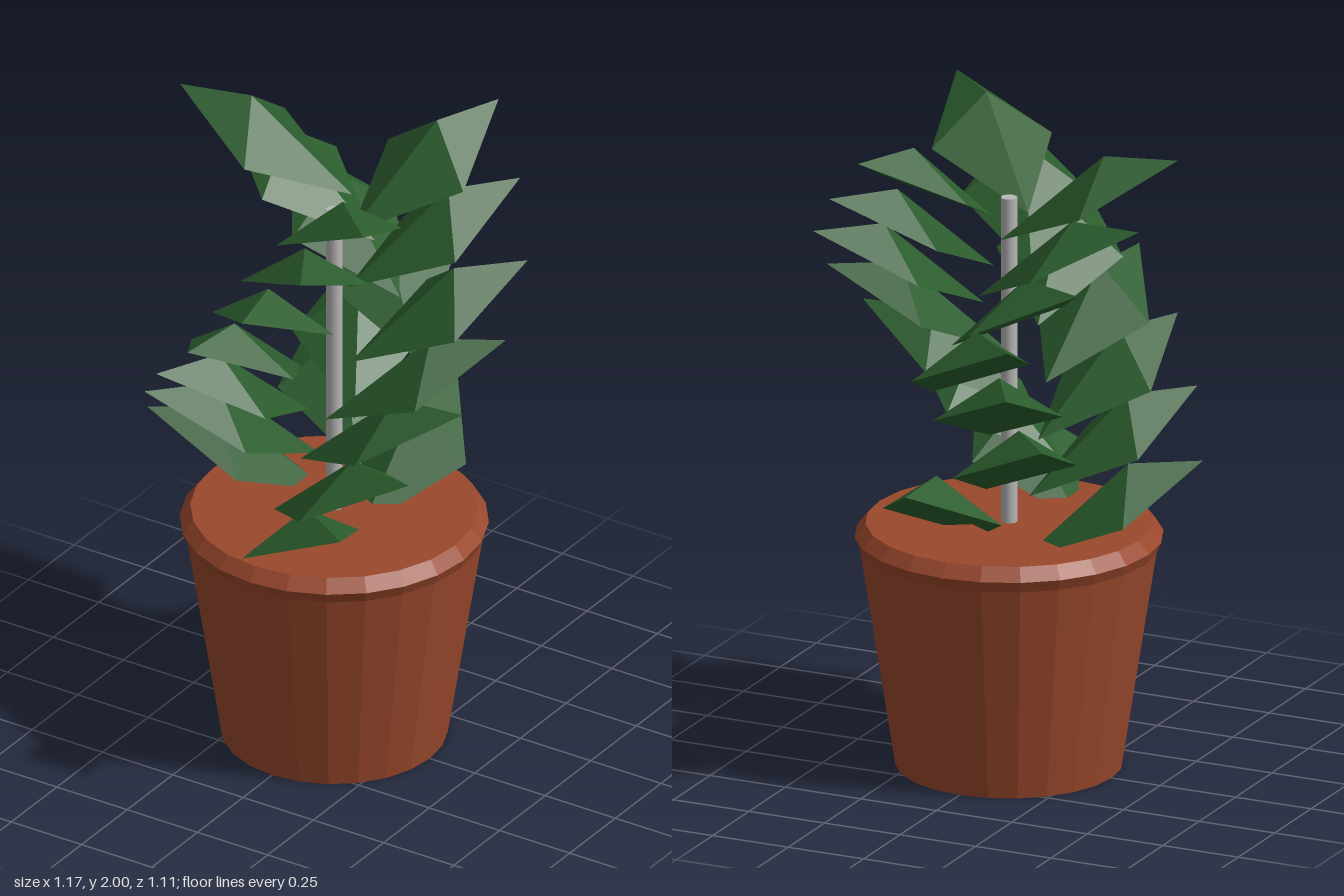
import * as THREE from 'three';

const potMat = new THREE.MeshStandardMaterial({ color: 0x9a482c });
potMat.name = 'terracotta';
const leafMat = new THREE.MeshStandardMaterial({ color: 0x2b5c2d, side: THREE.DoubleSide });
leafMat.name = 'leaf green';
const stemMat = new THREE.MeshStandardMaterial({ color: 0xb8b8b8 });
stemMat.name = 'stem grey';

// Faceted leaf: a tilted rhombus sheet with a raised middle; the tip is the origin, pointing along +x
function leafGeometry() {
  const tip = [0, 0, 0], base = [-0.54, -0.285, 0];
  const left = [-0.265, -0.142, -0.195], right = [-0.265, -0.142, 0.195];
  const ridge = [-0.225, 0, 0];
  const faces = [
    [tip, left, ridge], [left, base, ridge], [base, right, ridge], [right, tip, ridge],
  ];
  const geo = new THREE.BufferGeometry();
  geo.setAttribute('position', new THREE.Float32BufferAttribute(faces.flat(2), 3));
  geo.computeVertexNormals();
  return geo;
}

export function createModel() {
  const model = new THREE.Group();
  model.name = 'pottedPlant';

  // Pot with a flared rim, closed below and filled to the brim
  const profile = [[0, 0], [0.34, 0], [0.447, 0.685], [0.462, 0.72], [0.43, 0.76], [0, 0.76]];
  const potGeo = new THREE.LatheGeometry(
    profile.map(([r, y]) => new THREE.Vector2(r, y)), 24).toNonIndexed();
  potGeo.computeVertexNormals();
  const pot = new THREE.Mesh(potGeo, potMat);
  pot.name = 'pot';
  model.add(pot);

  // Thin stem
  const stemGeo = new THREE.CylinderGeometry(0.025, 0.025, 1.04, 10);
  const stem = new THREE.Mesh(stemGeo, stemMat);
  stem.name = 'stem';
  stem.position.y = 1.26;
  model.add(stem);

  // Three columns of leaves winding around the stem, from the top down:
  // tip angle of each leaf, tip distance, and how far the leaf is turned off the radius
  const columns = [
    { angles: [-62.9, -43.4, -23.1, -3.7, 16.2, 35.9, 55.3],
      radii: [0.566, 0.564, 0.586, 0.587, 0.587, 0.617, 0.62],
      turns: [-5, -7, -22, -27, -23, -27, -25] },
    { angles: [48.1, 67.5, 86.9, 107.4, 126.8, 146.3, 166.4],
      radii: [0.56, 0.557, 0.555, 0.568, 0.567, 0.567, 0.592],
      turns: [-7, -7, -9, -12, -12, -13, -19] },
    { angles: [186, 205.6, 225, 244.7, 245.2, 234.3, 277.7],
      radii: [0.592, 0.62, 0.62, 0.62, 0.573, 0.566, 0.562],
      turns: [-21, -24, -25, -25, -6, -8, -9] },
  ];
  const geo = leafGeometry();
  columns.forEach(({ angles, radii, turns }, c) => {
    const column = new THREE.Group();
    column.name = `leafColumn${c + 1}`;
    angles.forEach((deg, i) => {
      const a = THREE.MathUtils.degToRad(deg);
      const leaf = new THREE.Mesh(geo, leafMat);
      leaf.name = 'leaf';
      leaf.position.set(radii[i] * Math.cos(a), 2 - i * 0.168, radii[i] * Math.sin(a));
      leaf.rotation.y = -THREE.MathUtils.degToRad(deg + turns[i]);
      column.add(leaf);
    });
    model.add(column);
  });
  return model;
}
